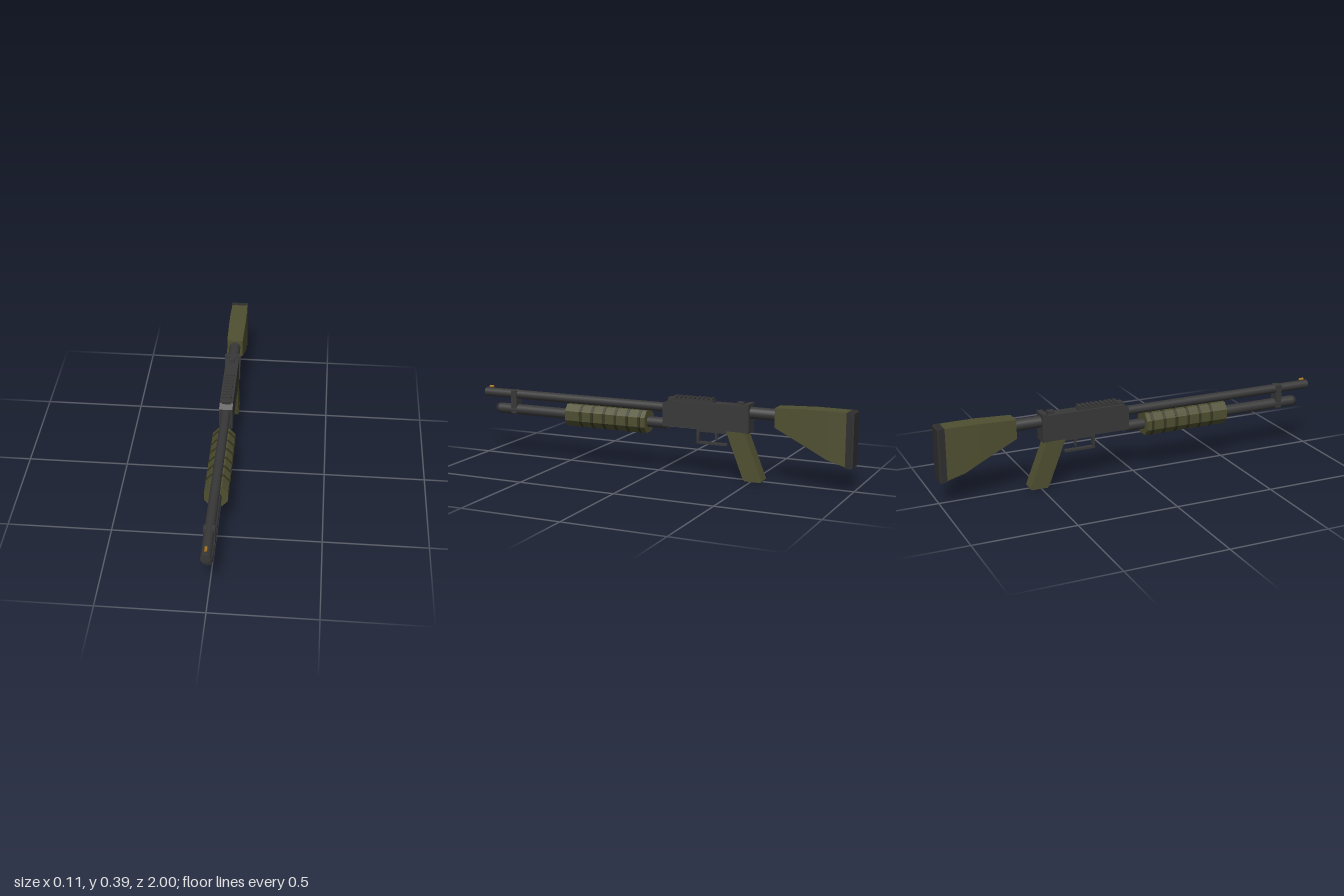
import * as THREE from 'three';
import { ConvexGeometry } from 'three/addons/geometries/ConvexGeometry.js';

const mat = (name, color) => {
  const m = new THREE.MeshStandardMaterial({ color });
  m.name = name;
  return m;
};

export function createModel() {
  const model = new THREE.Group();
  model.name = 'longGun';
  const metal = mat('dark metal', 0x383838);
  const rubber = mat('black rubber', 0x2e2e2f);
  const olive = mat('olive polymer', 0x4f4f31);
  const groove = mat('dark olive', 0x35361f);
  const brass = mat('brass', 0xb07a20);

  const add = (name, geo, material, parent = model) => {
    const m = new THREE.Mesh(geo, material);
    m.name = name;
    parent.add(m);
    return m;
  };
  // box from its limits, symmetric in x
  const box = (name, halfW, y0, y1, z0, z1, material, parent) => {
    const m = add(name, new THREE.BoxGeometry(halfW * 2, y1 - y0, Math.abs(z1 - z0)), material, parent);
    m.position.set(0, (y0 + y1) / 2, (z0 + z1) / 2);
    return m;
  };
  // cylinder lying along z; r1 at the front, r0 at the back
  const rod = (name, r1, r0, y, zBack, zFront, material, sides = 20) => {
    const g = new THREE.CylinderGeometry(r1, r0, zFront - zBack, sides).rotateX(Math.PI / 2);
    const m = add(name, g, material);
    m.position.set(0, y, (zBack + zFront) / 2);
    return m;
  };
  // side outline of [z, y] points, extruded across x
  const slab = (name, points, halfW, material) => {
    const shape = new THREE.Shape(points.map(([z, y]) => new THREE.Vector2(z, y)));
    const g = new THREE.ExtrudeGeometry(shape, { depth: halfW * 2, bevelEnabled: false });
    g.translate(0, 0, -halfW).rotateY(-Math.PI / 2);
    return add(name, g, material);
  };
  // convex solid through rectangular sections [z, bottom, top, halfWidth]
  const hull = (name, sections, material) => {
    const pts = [];
    for (const [z, b, t, w] of sections)
      for (const x of [-w, w]) pts.push(new THREE.Vector3(x, b, z), new THREE.Vector3(x, t, z));
    return add(name, new ConvexGeometry(pts), material);
  };

  // barrel, magazine tube and the clamp joining them
  rod('barrel', 0.023, 0.023, 0.323, -0.05, 1, metal);
  rod('magazineTube', 0.027, 0.027, 0.243, -0.05, 0.915, metal);
  rod('magazineCap', 0.023, 0.027, 0.243, 0.915, 0.93, rubber);
  box('barrelClamp', 0.026, 0.224, 0.343, 0.805, 0.837, metal);

  // front sight
  box('sightBase', 0.005, 0.34, 0.35, 0.955, 0.983, metal);
  rod('sightBead', 0.007, 0.007, 0.352, 0.957, 0.98, brass, 6);

  // octagonal pump with ribs
  const octagon = (s) => {
    const pts = [[0.055, 0.024], [0.028, 0.056], [-0.028, 0.056], [-0.055, 0.024],
      [-0.055, -0.024], [-0.028, -0.056], [0.028, -0.056], [0.055, -0.024]];
    return new THREE.Shape(pts.map(([x, y]) => new THREE.Vector2(x * s, y * s)));
  };
  const ring = (name, scale, z0, z1, material) => {
    const g = new THREE.ExtrudeGeometry(octagon(scale), { depth: z1 - z0, bevelEnabled: false });
    add(name, g, material).position.set(0, 0.245, z0);
  };
  ring('pump', 1, 0.053, 0.5, olive);
  for (let i = 0; i < 6; i++) {
    const z = 0.085 + i * 0.0655;
    ring('pumpRib', 1.035, z - 0.007, z + 0.007, groove);
  }

  // receiver with sloped front edge
  slab('receiver', [[-0.035, 0.235], [-0.035, 0.347], [-0.065, 0.366], [-0.47, 0.366], [-0.47, 0.235]], 0.033, metal);
  box('receiverEndPlate', 0.04, 0.236, 0.376, -0.487, -0.46, metal);
  box('safetyButton', 0.013, 0.36, 0.381, -0.45, -0.417, metal);

  // toothed top rail
  const rail = new THREE.Group();
  rail.name = 'topRail';
  model.add(rail);
  box('railBase', 0.02, 0.362, 0.377, -0.297, -0.06, metal, rail);
  for (let i = 0; i < 9; i++) {
    const z = -0.097 - i * 0.0235;
    box('railTooth', 0.022, 0.372, 0.387, z - 0.007, z + 0.007, metal, rail);
  }

  // trigger and guard
  box('guardTop', 0.0115, 0.218, 0.24, -0.375, -0.208, metal);
  box('guardFront', 0.0115, 0.158, 0.225, -0.22, -0.208, metal);
  box('guardBottom', 0.0115, 0.158, 0.168, -0.365, -0.208, metal);
  slab('trigger', [[-0.297, 0.222], [-0.304, 0.2], [-0.302, 0.18], [-0.312, 0.18], [-0.314, 0.2], [-0.309, 0.222]], 0.005, metal);

  // raked pistol grip
  slab('grip', [[-0.376, 0.222], [-0.37, 0.237], [-0.465, 0.237], [-0.471, 0.222], [-0.556, 0.008], [-0.55, 0], [-0.468, 0], [-0.459, 0.01]], 0.033, olive);

  // stock on its tube, with butt pad
  rod('stockTube', 0.029, 0.029, 0.332, -0.65, -0.48, metal);
  hull('stock', [
    [-0.618, 0.278, 0.372, 0.041],
    [-0.797, 0.19, 0.379, 0.044],
    [-0.877, 0.148, 0.379, 0.044],
    [-0.966, 0.122, 0.379, 0.041],
  ], olive);
  hull('buttPad', [
    [-0.964, 0.118, 0.379, 0.044],
    [-0.992, 0.115, 0.379, 0.044],
    [-1, 0.12, 0.374, 0.04],
  ], rubber);

  return model;
}
